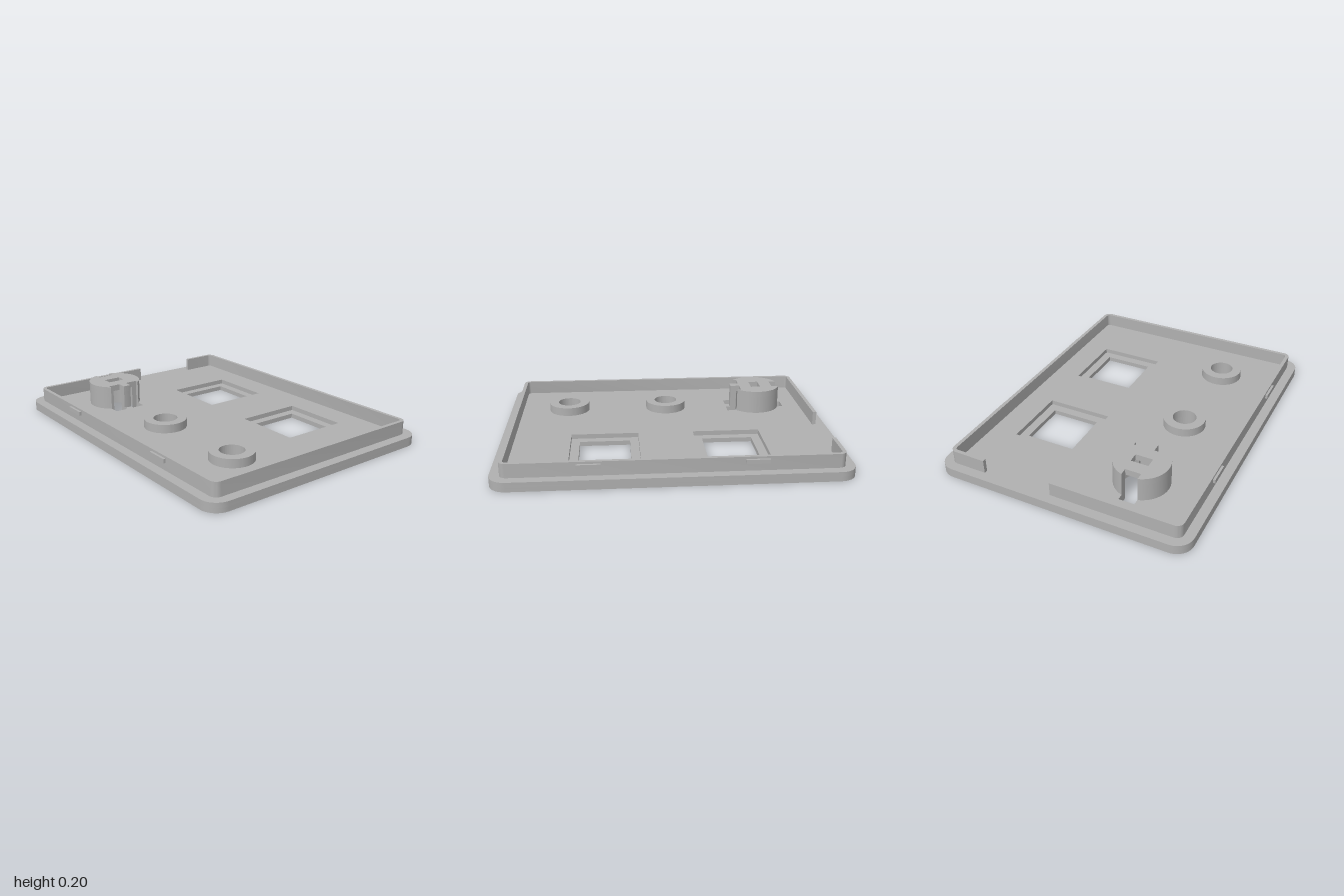
import * as THREE from 'three';
import { toCreasedNormals } from 'three/addons/utils/BufferGeometryUtils.js';

const PLATE_TOP = 0.055, WALL_TOP = 0.137, POST_TOP = 0.2, CAVITY_TOP = 0.163;
const POST_X = -0.617, ROW_Z = 0.337, POST_R = 0.162, CAVITY_R = 0.125;

export function createModel() {
  const model = new THREE.Group();
  model.name = 'panelCover';
  const grey = new THREE.MeshStandardMaterial({ color: 0xb0b0b0 });
  grey.name = 'grey plastic';

  // Plan outlines use (x, z); they are raised from y0 to y1.
  function raise(name, shape, y0, y1, x = 0, z = 0) {
    let g = new THREE.ExtrudeGeometry(shape, { depth: y1 - y0, bevelEnabled: false, curveSegments: 40 });
    g.rotateX(Math.PI / 2);
    g = toCreasedNormals(g, 0.5);
    const mesh = new THREE.Mesh(g, grey);
    mesh.name = name;
    mesh.position.set(x, y1, z);
    model.add(mesh);
  }
  const v = (x, y) => new THREE.Vector2(x, y);
  const poly = (pts) => new THREE.Shape(pts);
  const rect = (x0, z0, x1, z1) => poly([v(x0, z0), v(x1, z0), v(x1, z1), v(x0, z1)]);
  const circle = (x, z, r) => new THREE.Shape().absarc(x, z, r, 0, Math.PI * 2, false);
  function arc(r, a, b, n = 32, cx = 0, cz = 0) {
    return Array.from({ length: n + 1 }, (_, i) => {
      const t = a + (b - a) * i / n;
      return v(cx + r * Math.cos(t), cz + r * Math.sin(t));
    });
  }
  function roundRect(hx, hz, r) {
    const H = Math.PI / 2;
    return poly([[1, 1], [-1, 1], [-1, -1], [1, -1]].flatMap(([sx, sz], i) =>
      arc(r, i * H, (i + 1) * H, 10, sx * (hx - r), sz * (hz - r))));
  }
  const mirrored = (pts) => pts.map((p) => v(p.x, -p.y)).reverse();

  // Slot geometry around the post, relative to its centre
  const leftIn = -0.11, leftOut = -0.193, leftZ = 0.047;
  const rightIn = 0.104, rightOut = 0.189, zNear = 0.024, zFar = 0.1;
  const atZ = (r, z) => Math.asin(z / r);
  const cavityStart = Math.acos(rightIn / CAVITY_R);
  const cavityEnd = Math.PI - atZ(CAVITY_R, leftZ);
  const postStart = atZ(POST_R, zFar);
  const postEnd = Math.PI - atZ(POST_R, leftZ);

  // Opening under the post: cavity circle joined with its three slots
  const openHalf = [
    ...arc(CAVITY_R, 0, atZ(CAVITY_R, zNear), 4),
    v(rightOut, zNear), v(rightOut, zFar), v(rightIn, zFar),
    ...arc(CAVITY_R, cavityStart, cavityEnd), v(leftOut, leftZ),
  ];
  const opening = poly([...openHalf, ...mirrored(openHalf).slice(0, -1)]
    .map((p) => v(p.x + POST_X, p.y + ROW_Z)));

  // Base plate in two layers, so that the square windows are stepped
  const windows = [-0.36, 0.381], ringX = [-0.022, 0.615], windowZ = -0.322;
  function plate(name, half, y0, y1) {
    const s = roundRect(1, 0.766, 0.1);
    for (const x of windows) s.holes.push(rect(x - half, windowZ - half, x + half, windowZ + half));
    for (const x of ringX) s.holes.push(circle(x, ROW_Z, 0.072));
    s.holes.push(opening);
    raise(name, s, y0, y1);
  }
  plate('plateBottom', 0.151, 0, 0.027);
  plate('plateTop', 0.203, 0.027, PLATE_TOP);

  // Thin rim wall, open along part of one side
  const hx = 0.943, hz = 0.71, t = 0.022, gap0 = -0.48, gap1 = -0.056;
  function rimLine(inset, r) {
    const x = hx - inset, z = hz - inset, P = Math.PI;
    return [
      v(-x, gap0),
      ...arc(r, P, 1.5 * P, 8, -x + r, -z + r), ...arc(r, 1.5 * P, 2 * P, 8, x - r, -z + r),
      ...arc(r, 0, P / 2, 8, x - r, z - r), ...arc(r, P / 2, P, 8, -x + r, z - r),
      v(-x, gap1),
    ];
  }
  raise('rimWall', poly([...rimLine(0, 0.042), ...rimLine(t, 0.02).reverse()]), PLATE_TOP, WALL_TOP);

  // Snap tabs on the long walls
  for (const x of [-0.448, 0.466]) {
    for (const side of [-1, 1]) {
      const tab = new THREE.Mesh(new THREE.BoxGeometry(0.132, 0.024, 0.02), grey);
      tab.name = 'snapTab';
      tab.position.set(x, 0.112, side * (hz + 0.004));
      model.add(tab);
    }
  }

  // Raised collars round the two holes
  for (const x of ringX) {
    const ring = circle(0, 0, 0.129);
    ring.holes.push(circle(0, 0, 0.072));
    raise('holeCollar', ring, PLATE_TOP, 0.107, x, ROW_Z);
  }

  // Hollow post: two curved walls, a tongue and a slotted cap
  const wall = [
    ...arc(POST_R, postStart, postEnd),
    ...arc(CAVITY_R, cavityEnd, cavityStart), v(rightIn, zFar),
  ];
  raise('postWallFront', poly(wall), PLATE_TOP, CAVITY_TOP, POST_X, ROW_Z);
  raise('postWallBack', poly(mirrored(wall)), PLATE_TOP, CAVITY_TOP, POST_X, ROW_Z);
  const tongueIn = atZ(CAVITY_R, zNear), tongueOut = atZ(POST_R, zNear);
  raise('postTongue', poly([...arc(POST_R, -tongueOut, tongueOut, 4), ...arc(CAVITY_R, tongueIn, -tongueIn, 4)]),
    PLATE_TOP, CAVITY_TOP, POST_X, ROW_Z);
  const capHalf = [
    ...arc(POST_R, 0, tongueOut, 4), v(rightIn, zNear), v(rightIn, zFar),
    ...arc(POST_R, postStart, postEnd), v(leftIn, leftZ),
  ];
  const cap = poly([...capHalf, ...mirrored(capHalf).slice(0, -1)]);
  cap.holes.push(rect(-0.033, -0.053, 0.028, 0.052));
  raise('postCap', cap, CAVITY_TOP, POST_TOP, POST_X, ROW_Z);

  return model;
}
